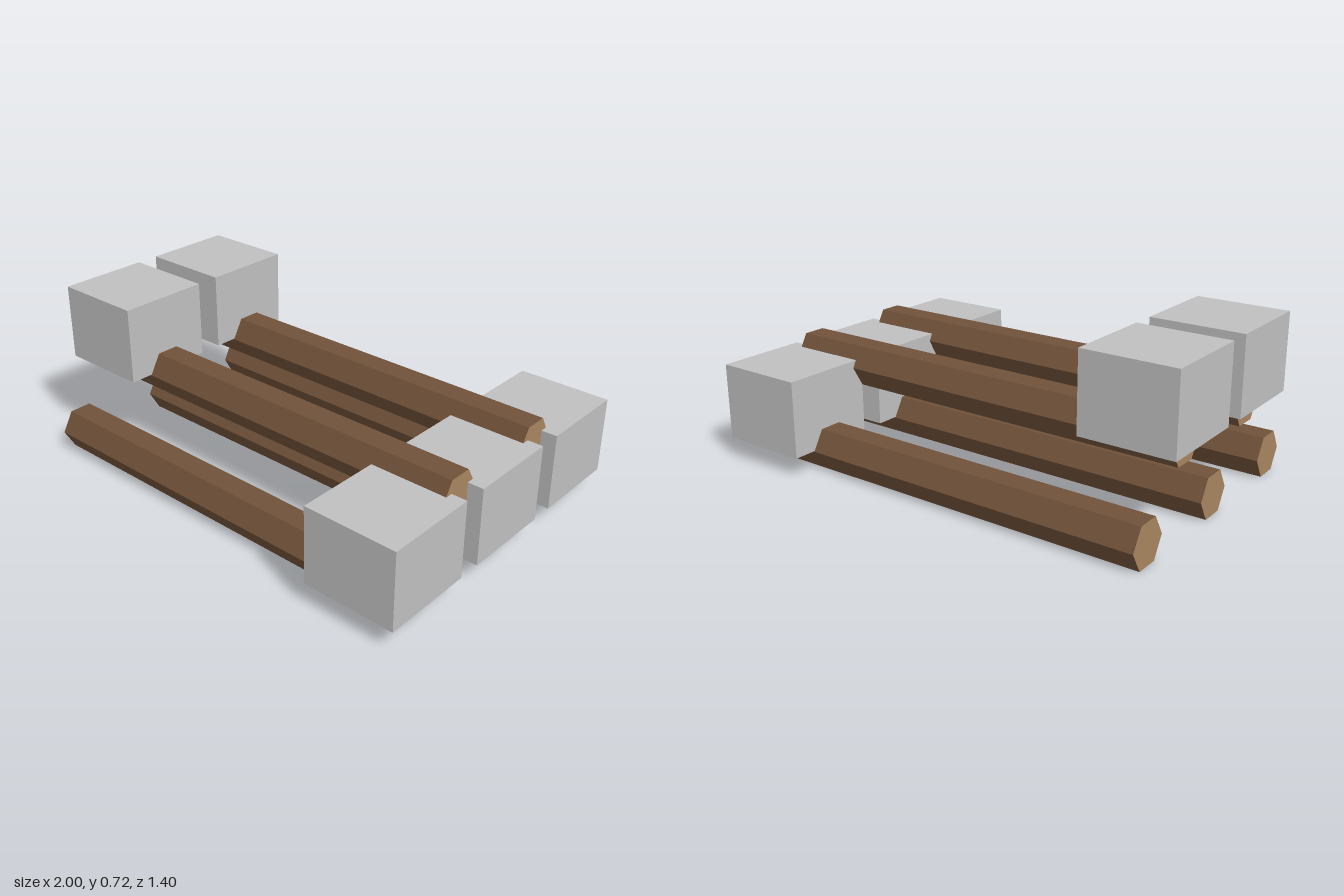
import * as THREE from 'three';

export function createModel() {
  const model = new THREE.Group();
  model.name = 'stackedHammers';

  const stone = new THREE.MeshStandardMaterial({ name: 'stone grey', color: 0xc0c0c0, flatShading: true });
  const bark = new THREE.MeshStandardMaterial({ name: 'bark brown', color: 0x715239, flatShading: true });
  const cutWood = new THREE.MeshStandardMaterial({ name: 'cut wood tan', color: 0xa88660, flatShading: true });

  // Hexagonal handle lying along x, flat faces up and down, tan cut ends
  const handleGeometry = new THREE.CylinderGeometry(0.1, 0.1, 1.866, 6);
  handleGeometry.rotateZ(-Math.PI / 2);
  const headGeometry = new THREE.BoxGeometry(0.4, 0.33, 0.4);

  // One hammer: side is +1 when its head is at the +x end, -1 at the -x end
  function addHammer(name, side, y, z) {
    const hammer = new THREE.Group();
    hammer.name = name;
    hammer.position.set(0, y, z);

    const handle = new THREE.Mesh(handleGeometry, [bark, cutWood, cutWood]);
    handle.name = 'handle';
    handle.position.y = 0.0866;

    const head = new THREE.Mesh(headGeometry, stone);
    head.name = 'head';
    head.position.set(0.8 * side, 0.255, 0);

    hammer.add(handle, head);
    model.add(hammer);
  }

  // Lower row of three, upper row of two turned the other way
  for (const z of [-0.5, 0, 0.5]) addHammer('lowerHammer', 1, 0, z);
  for (const z of [-0.25, 0.25]) addHammer('upperHammer', -1, 0.302, z);

  return model;
}
